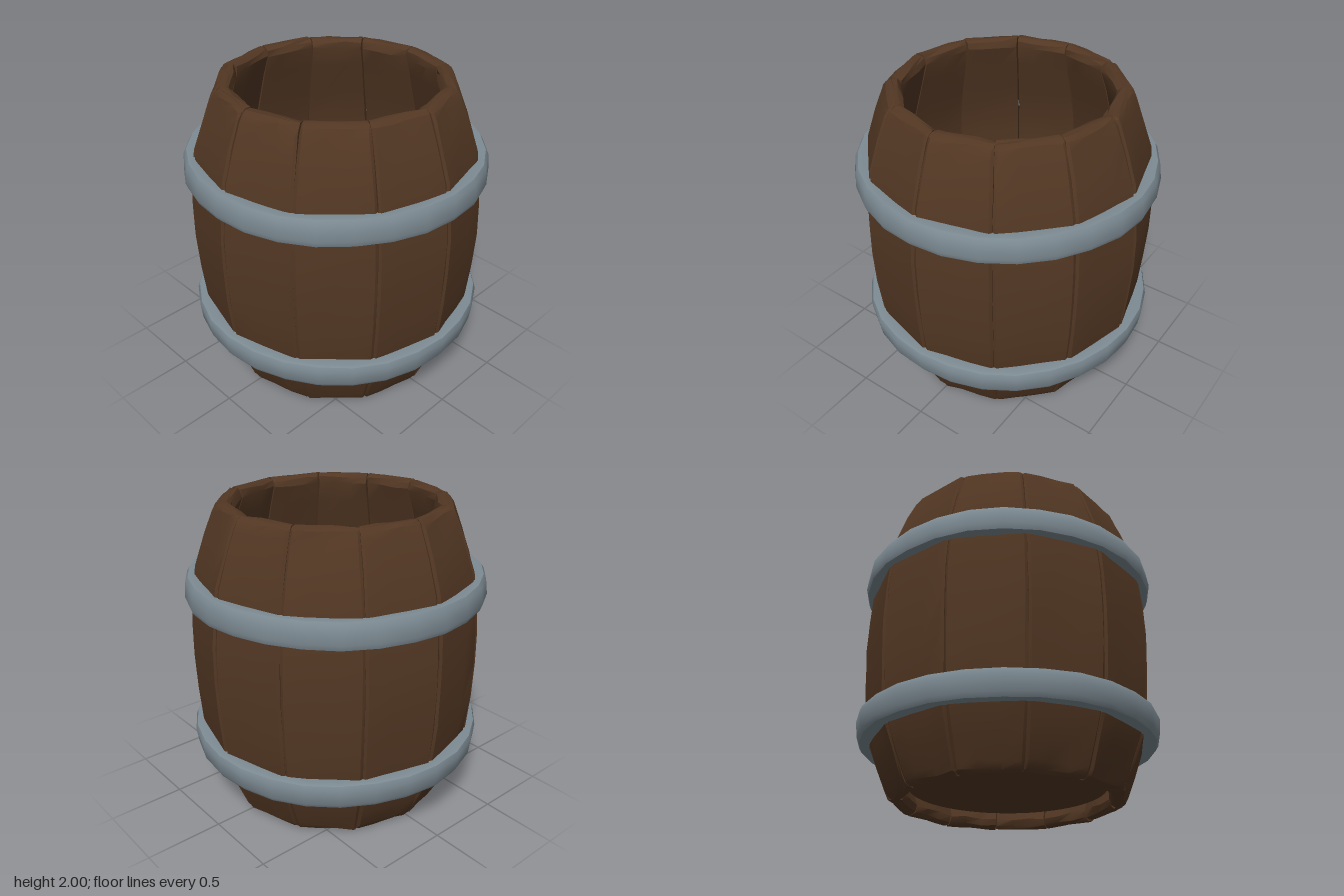
import * as THREE from 'three';
import { toCreasedNormals } from 'three/addons/utils/BufferGeometryUtils.js';

const STAVES = 12;
const HALF = Math.PI / STAVES;

const wood = new THREE.MeshStandardMaterial({ color: 0x523723 });
wood.name = 'brown wood';
const iron = new THREE.MeshStandardMaterial({ color: 0x7d8b93 });
iron.name = 'grey iron';

function seeded(seed) {
  let s = seed;
  return () => {
    s = (s * 16807) % 2147483647;
    return s / 2147483647 - 0.5;
  };
}

// Stave profile: [height, outer corner radius, inner corner radius]
const PROFILE = [
  [0.005, 0.715, 0.675], [0.02, 0.74, 0.655], [0.06, 0.762, 0.645],
  [0.2, 0.82, 0.69], [0.37, 0.885, 0.76], [0.53, 0.912, 0.805],
  [0.76, 0.932, 0.83], [1.0, 0.942, 0.84], [1.22, 0.938, 0.835],
  [1.42, 0.92, 0.805], [1.6, 0.892, 0.75], [1.8, 0.822, 0.69],
  [1.94, 0.765, 0.645], [1.98, 0.742, 0.652], [1.998, 0.715, 0.672],
];

// One flat, slightly hewn board with chamfered outer edges, facing +z
function staveGeometry(seed) {
  const rnd = seeded(seed);
  const pos = [];
  const index = [];
  const gap = 0.005;
  const c = 0.014;
  const last = PROFILE.length - 1;
  let n = 0;
  PROFILE.forEach(([y, ro, ri], i) => {
    const wo = ro * Math.sin(HALF) - gap;
    const wi = ri * Math.sin(HALF) - gap;
    const d = ro * Math.cos(HALF);
    const e = ri * Math.cos(HALF);
    const loop = [
      [-wo, d - c], [-wo + c, d], [-wo * 0.35, d], [wo * 0.35, d], [wo - c, d], [wo, d - c],
      [wi, e], [wi * 0.35, e], [-wi * 0.35, e], [-wi, e],
    ];
    n = loop.length;
    const rim = i < 3 || i > last - 3;
    for (const [x, z] of loop) {
      const dy = rim ? rnd() * 0.016 : 0;
      pos.push(x + rnd() * 0.004, THREE.MathUtils.clamp(y + dy, 0, 2), z + rnd() * (rim ? 0.012 : 0.007));
    }
  });
  for (let i = 0; i < last; i++) {
    for (let j = 0; j < n; j++) {
      const k = (j + 1) % n;
      const a = i * n;
      const b = a + n;
      index.push(a + j, a + k, b + k, a + j, b + k, b + j);
    }
  }
  // End caps
  const low = pos.length / 3;
  const high = low + 1;
  const mid = 0.69 * Math.cos(HALF);
  pos.push(0, 0, mid, 0, 2, mid);
  for (let j = 0; j < n; j++) {
    const k = (j + 1) % n;
    index.push(low, k, j, high, last * n + j, last * n + k);
  }
  const g = new THREE.BufferGeometry();
  g.setAttribute('position', new THREE.Float32BufferAttribute(pos, 3));
  g.setIndex(index);
  return toCreasedNormals(g, 0.5);
}

// Hammered hoop, leaning inward toward the near end of the barrel
function hoopGeometry(phase) {
  const profile = [
    [0.85, -0.075], [0.935, -0.085], [0.955, -0.078], [0.967, -0.045],
    [0.955, 0.055], [0.938, 0.083], [0.915, 0.085], [0.85, 0.075], [0.85, -0.075],
  ].map(([r, y]) => new THREE.Vector2(r, y));
  const g = new THREE.LatheGeometry(profile, 28);
  const p = g.attributes.position;
  for (let i = 0; i < p.count; i++) {
    const a = Math.atan2(p.getX(i), p.getZ(i));
    const s = 1 + 0.003 * Math.sin(5 * a + phase) + 0.002 * Math.sin(11 * a + p.getY(i) * 20);
    p.setXYZ(i, p.getX(i) * s, p.getY(i) + 0.002 * Math.sin(7 * a + phase), p.getZ(i) * s);
  }
  return toCreasedNormals(g, 0.6);
}

export function createModel() {
  const barrel = new THREE.Group();
  barrel.name = 'barrel';

  // Ring of boards, with seams on the x and z axes
  const staves = new THREE.Group();
  staves.name = 'staves';
  for (let i = 0; i < STAVES; i++) {
    const stave = new THREE.Mesh(staveGeometry(7919 * (i + 3)), wood);
    stave.name = 'stave';
    stave.rotation.y = (2 * i + 1) * HALF;
    staves.add(stave);
  }
  barrel.add(staves);

  // Round floor inside the lower rim
  const floor = new THREE.Mesh(new THREE.CylinderGeometry(0.62, 0.62, 0.03, 64), wood);
  floor.name = 'floor';
  floor.position.y = 0.115;
  barrel.add(floor);

  // Two iron hoops, the lower one flipped
  const upperHoop = new THREE.Mesh(hoopGeometry(0.4), iron);
  upperHoop.name = 'upperHoop';
  upperHoop.position.y = 1.47;
  const lowerHoop = new THREE.Mesh(hoopGeometry(1.9), iron);
  lowerHoop.name = 'lowerHoop';
  lowerHoop.position.y = 0.43;
  lowerHoop.rotation.x = Math.PI;
  barrel.add(upperHoop, lowerHoop);

  return barrel;
}
